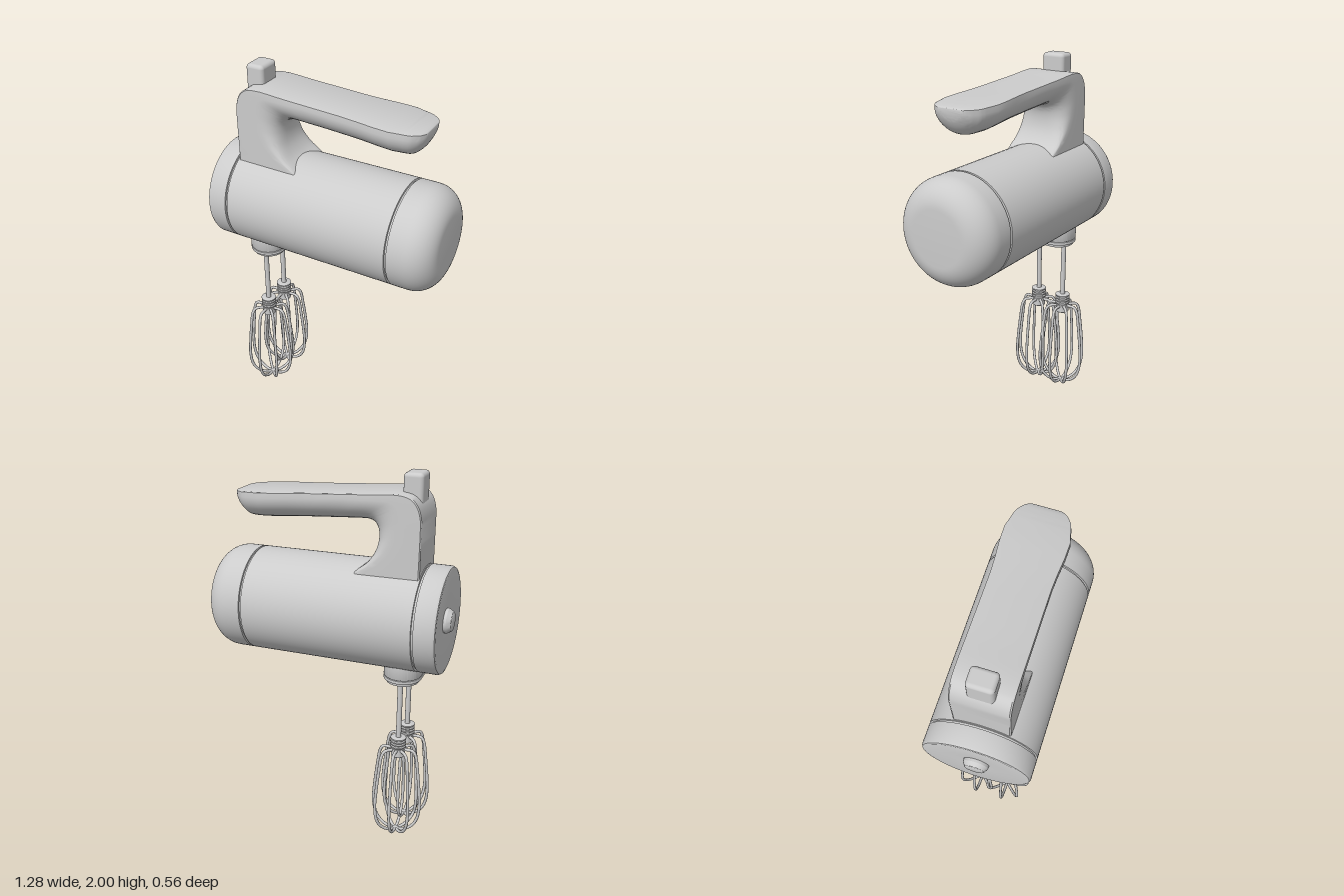
import * as THREE from 'three';
import { toCreasedNormals } from 'three/addons/utils/BufferGeometryUtils.js';
import { RoundedBoxGeometry } from 'three/addons/geometries/RoundedBoxGeometry.js';

const material = new THREE.MeshStandardMaterial({ color: 0xcccccc });
const AXIS_Y = 1.265, BODY_R = 0.278, HEAD_X = -0.405;

function add(parent, name, geometry, x = 0, y = 0, z = 0) {
  const mesh = new THREE.Mesh(geometry, material);
  mesh.name = name;
  mesh.position.set(x, y, z);
  parent.add(mesh);
  return mesh;
}

// Revolves [radius, height] pairs around y
function lathe(profile, segments, crease = 0.5) {
  const points = profile.map(([r, h]) => new THREE.Vector2(r, h));
  return toCreasedNormals(new THREE.LatheGeometry(points, segments), crease);
}

// Motor housing: one profile with two grooves, a dished rear and a rounded nose
function housingGeometry() {
  const R = BODY_R, profile = [[0, -0.605], [0.06, -0.605], [0.262, -0.62], [0.272, -0.617], [R, -0.605]];
  for (const x of [-0.505, 0.417]) {
    profile.push([R, x - 0.006], [R - 0.01, x - 0.005], [R - 0.01, x + 0.005], [R, x + 0.006]);
  }
  for (let i = 0; i <= 14; i++) {
    const a = (i / 14) * Math.PI / 2;
    profile.push([R - 0.135 + 0.135 * Math.cos(a), 0.503 + 0.135 * Math.sin(a)]);
  }
  profile.push([0, 0.64]);
  return lathe(profile, 72).rotateZ(-Math.PI / 2);
}

// Handle: flat-topped sections swept from the column foot to the end of the grip.
// Each station: outer x, y, inner x, y, half width, squareness, flat side share
const STATIONS = [
  [-0.495, 1.45, -0.11, 1.46, 0.145, 9, 0.85],
  [-0.495, 1.51, -0.16, 1.51, 0.145, 9, 0.85],
  [-0.495, 1.57, -0.215, 1.555, 0.145, 6, 0.75],
  [-0.495, 1.65, -0.25, 1.61, 0.145, 4, 0.6],
  [-0.495, 1.73, -0.262, 1.67, 0.145, 3, 0.5],
  [-0.493, 1.80, -0.255, 1.72, 0.145, 2.6, 0.45],
  [-0.474, 1.86, -0.235, 1.748, 0.145, 2.4, 0.4],
  [-0.44, 1.895, -0.205, 1.758, 0.145, 2.2, 0.32],
  [-0.385, 1.909, -0.16, 1.756, 0.145, 2, 0.25],
  [-0.2, 1.899, -0.06, 1.75, 0.145, 2, 0.2],
  [0.1, 1.882, 0.15, 1.737, 0.145, 2, 0.2],
  [0.41, 1.865, 0.4, 1.721, 0.145, 2, 0.2],
  [0.455, 1.862, 0.44, 1.727, 0.133, 2, 0.2],
  [0.49, 1.86, 0.475, 1.757, 0.105, 2, 0.25],
  [0.505, 1.857, 0.5, 1.8, 0.075, 2, 0.3],
  [0.507, 1.85, 0.507, 1.83, 0.06, 2, 0.3],
];

function handleGeometry() {
  const curve = (pick) => new THREE.CatmullRomCurve3(STATIONS.map((s) => new THREE.Vector3(...pick(s))));
  const outer = curve((s) => [s[0], s[1], 0]);
  const inner = curve((s) => [s[2], s[3], 0]);
  const form = curve((s) => [s[4], s[5], s[6]]);
  const rings = 60, arc = 24, count = arc + 5;
  const positions = [], index = [];
  for (let i = 0; i <= rings; i++) {
    const t = i / rings;
    const O = outer.getPoint(t), I = inner.getPoint(t), { x: w, y: n, z: side } = form.getPoint(t);
    const section = [[w - 0.01, 0], [w - 0.003, 0.02]];
    for (let k = 0; k <= arc; k++) {
      const a = (k / arc) * Math.PI, c = Math.cos(a);
      section.push([
        w * Math.sign(c) * Math.abs(c) ** (2 / n),
        side + (1 - side) * Math.max(0, Math.sin(a)) ** (2 / n),
      ]);
    }
    section.push([-w + 0.003, 0.02], [-w + 0.01, 0]);
    for (const [z, d] of section) {
      const p = O.clone().lerp(I, d);
      positions.push(p.x, p.y, z);
    }
  }
  for (let i = 0; i < rings; i++) {
    for (let j = 0; j < count; j++) {
      const a = i * count + j, b = i * count + (j + 1) % count;
      index.push(a, b, a + count, b, b + count, a + count);
    }
  }
  // Closing fan at the tip of the grip
  const last = rings * count;
  for (let j = 1; j < count - 1; j++) index.push(last, last + j, last + j + 1);
  const geometry = new THREE.BufferGeometry();
  geometry.setAttribute('position', new THREE.Float32BufferAttribute(positions, 3));
  geometry.setIndex(index);
  return toCreasedNormals(geometry, 0.6);
}

// Upright slab with a stadium outline, its long side along z
function stadiumSlab(radius, halfLength, height, bevel = 0.004) {
  const r = radius - bevel, s = halfLength - radius;
  const shape = new THREE.Shape();
  shape.absarc(0, s, r, 0, Math.PI);
  shape.absarc(0, -s, r, Math.PI, Math.PI * 2);
  shape.closePath();
  const geometry = new THREE.ExtrudeGeometry(shape, {
    depth: height - 2 * bevel, bevelThickness: bevel, bevelSize: bevel, bevelSegments: 2, curveSegments: 24,
  });
  return toCreasedNormals(geometry.translate(0, 0, bevel).rotateX(-Math.PI / 2), 0.6);
}

// One whisk: shaft, ribbed collar and four crossing wire loops
function createWhisk() {
  const whisk = new THREE.Group();
  add(whisk, 'shaft', new THREE.CylinderGeometry(0.014, 0.014, 0.4, 20), 0, 0.75, 0);
  const ribs = [[0, 0.535], [0.034, 0.535]];
  for (let i = 0; i < 4; i++) {
    const y = 0.54 + i * 0.016;
    ribs.push([0.034, y], [0.042, y + 0.003], [0.042, y + 0.01], [0.034, y + 0.013]);
  }
  ribs.push([0, 0.601]);
  add(whisk, 'ribbedCollar', lathe(ribs, 28));
  add(whisk, 'hub', lathe([[0, 0.487], [0.035, 0.487], [0.038, 0.49], [0.038, 0.535], [0, 0.535]], 28));
  const half = [[0.02, 0.524], [0.055, 0.529], [0.085, 0.525], [0.1, 0.5], [0.115, 0.4], [0.127, 0.29],
    [0.133, 0.19], [0.124, 0.11], [0.098, 0.055], [0.055, 0.02]];
  const loop = [...half, [0, 0.009], ...half.map(([r, y]) => [-r, y]).reverse()];
  const path = new THREE.CatmullRomCurve3(loop.map(([r, y]) => new THREE.Vector3(r, y, 0)));
  const wire = new THREE.TubeGeometry(path, 90, 0.0085, 8);
  for (let i = 0; i < 4; i++) add(whisk, 'wireLoop', wire).rotation.y = (i * Math.PI) / 4;
  return whisk;
}

export function createModel() {
  const model = new THREE.Group();
  model.name = 'handMixer';

  add(model, 'motorHousing', housingGeometry(), 0, AXIS_Y, 0);
  const knob = [[0, -0.645], [0.044, -0.645], [0.05, -0.642], [0.064, -0.62], [0.064, -0.6]];
  add(model, 'rearKnob', lathe(knob, 32).rotateZ(-Math.PI / 2), 0, AXIS_Y, 0);

  add(model, 'handle', handleGeometry());
  add(model, 'ejectButton', new RoundedBoxGeometry(0.1, 0.18, 0.13, 4, 0.02), -0.425, 1.91, 0);

  // Socket under the housing
  add(model, 'socketNeck', stadiumSlab(0.1, 0.145, 0.12), HEAD_X, 0.957, 0);
  add(model, 'socketGroove', stadiumSlab(0.092, 0.137, 0.02), HEAD_X, 0.945, 0);
  add(model, 'socketFlange', stadiumSlab(0.1, 0.145, 0.018), HEAD_X, 0.936, 0);
  add(model, 'socketPlate', stadiumSlab(0.088, 0.133, 0.02), HEAD_X, 0.92, 0);

  for (const side of [1, -1]) {
    const whisk = createWhisk();
    whisk.name = side > 0 ? 'frontWhisk' : 'backWhisk';
    whisk.position.set(HEAD_X, 0, side * 0.083);
    model.add(whisk);
  }
  return model;
}
